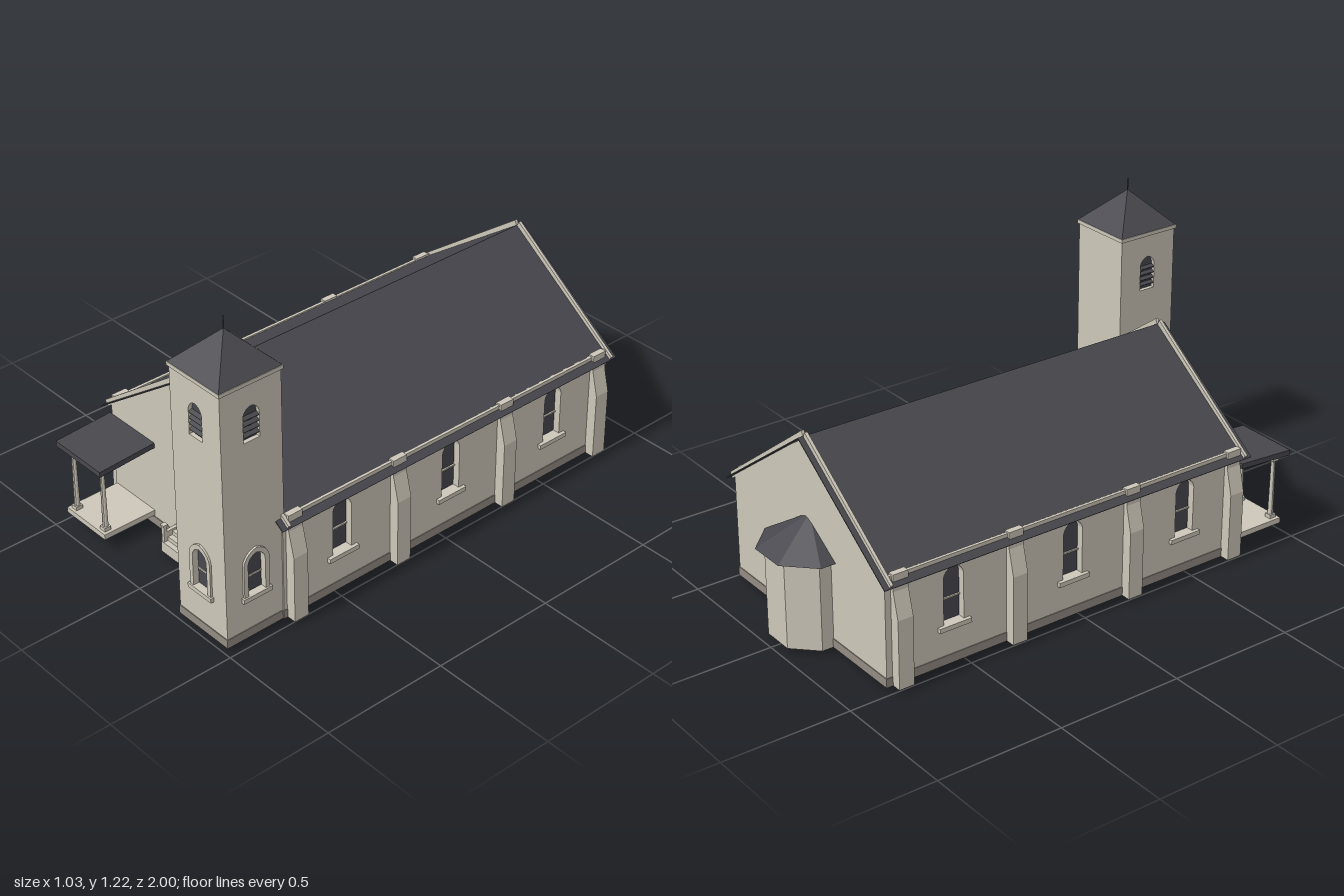
import * as THREE from 'three';

const mat = (name, color) => {
  const m = new THREE.MeshStandardMaterial({ color, side: THREE.DoubleSide, flatShading: true });
  m.name = name;
  return m;
};

export function createModel() {
  const stone = mat('pale stone', 0xcdc7b9);
  const plinthMat = mat('grey plinth', 0x928b82);
  const slate = mat('dark slate', 0x48474d);
  const glass = mat('dark glass', 0x48484f);
  const wood = mat('brown wood', 0x523420);
  const model = new THREE.Group();
  model.name = 'chapel';

  const add = (parent, name, geo, material, x = 0, y = 0, z = 0) => {
    const m = new THREE.Mesh(geo, material);
    m.name = name;
    m.position.set(x, y, z);
    parent.add(m);
    return m;
  };
  // Box given by its min and max corners
  const box = (parent, name, material, x0, x1, y0, y1, z0, z1) =>
    add(parent, name, new THREE.BoxGeometry(x1 - x0, y1 - y0, z1 - z0), material,
      (x0 + x1) / 2, (y0 + y1) / 2, (z0 + z1) / 2);

  // Arched outline, slightly pointed at the top
  const arch = (T, x, w, y0, y1) => {
    const s = new T();
    const spring = y1 - w * 1.0;
    s.moveTo(x - w, y0);
    s.lineTo(x + w, y0);
    s.lineTo(x + w, spring);
    s.quadraticCurveTo(x + w * 0.85, y1 - w * 0.2, x, y1);
    s.quadraticCurveTo(x - w * 0.85, y1 - w * 0.2, x - w, spring);
    s.closePath();
    return s;
  };
  const extrude = (shape, depth) =>
    new THREE.ExtrudeGeometry(shape, { depth, bevelEnabled: false, curveSegments: 5 });

  // Wall panel with arched or square openings; its outer face is local z = 0
  const wall = (name, pts, t, openings, pos, turn) => {
    const g = new THREE.Group();
    g.name = name;
    g.position.set(...pos);
    g.rotation.y = turn;
    model.add(g);
    const shape = new THREE.Shape(pts.map(p => new THREE.Vector2(...p)));
    for (const o of openings) {
      const { x, w, y0, y1 } = o;
      if (o.kind === 'door') {
        shape.holes.push(new THREE.Path([[x - w, y0], [x + w, y0], [x + w, y1], [x - w, y1]]
          .map(p => new THREE.Vector2(...p))));
        for (const s of [-1, 1])
          box(g, 'doorLeaf', wood, s < 0 ? x - w : x + 0.0005, s < 0 ? x - 0.0005 : x + w, y0, y1, -t * 0.7, -t * 0.4);
        continue;
      }
      shape.holes.push(arch(THREE.Path, x, w, y0, y1));
      add(g, 'windowPane', extrude(arch(THREE.Shape, x, w, y0, y1), 0.004), glass, 0, 0, -t * 0.8);
      if (o.kind === 'louvre') {
        for (let i = 0; i < 4; i++) {
          const slat = box(g, 'louvreSlat', slate, x - w, x + w, y0 + 0.02 + i * 0.022, y0 + 0.024 + i * 0.022, -0.016, 0);
          slat.rotation.x = 0.5;
        }
        continue;
      }
      const bar = y0 + (y1 - y0) * 0.39;
      box(g, 'windowBar', stone, x - w, x + w, bar - 0.003, bar + 0.003, -t * 0.8, -t * 0.55);
      box(g, 'windowSill', stone, x - w - 0.025, x + w + 0.025, y0 - 0.018, y0, -0.005, 0.014);
      if (o.hood) {
        const hood = arch(THREE.Shape, x, w + 0.018, y0, y1 + 0.02);
        hood.holes.push(arch(THREE.Path, x, w, y0, y1));
        add(g, 'windowHood', extrude(hood, 0.008), stone);
      }
    }
    add(g, name + 'Panel', extrude(shape, t).translate(0, 0, -t), stone);
    return g;
  };

  // Nave walls
  const W = 0.475, ZF = 0.74, ZB = -0.835, T = 0.04, base = 0.015, eave = 0.432, apex = 0.765;
  const gable = [[-W, base], [W, base], [W, eave], [0, apex], [-W, eave]];
  wall('frontGable', gable, T, [
    { kind: 'door', x: 0, w: 0.075, y0: 0.08, y1: 0.285 },
    { kind: 'window', x: 0, w: 0.05, y0: 0.37, y1: 0.575, hood: true },
  ], [0, 0, ZF], 0);
  wall('backGable', gable, T, [], [0, 0, ZB], Math.PI);
  for (const s of [-1, 1]) {
    const windows = [0.475, -0.04, -0.555].map(z => ({ kind: 'window', x: -s * z, w: 0.042, y0: 0.172, y1: 0.395 }));
    const a = -s * (ZF - T), b = -s * (ZB + T), lo = Math.min(a, b), hi = Math.max(a, b);
    wall('sideWall', [[lo, base], [hi, base], [hi, eave - 0.003], [lo, eave - 0.003]], T, windows, [s * W, 0, 0], s * Math.PI / 2);
  }

  // Plinth strips round the nave
  const P = 0.003;
  for (const s of [-1, 1])
    box(model, 'sidePlinth', plinthMat, s > 0 ? W : -W - P, s > 0 ? W + P : -W, base, 0.05, ZB - P, ZF + P);
  box(model, 'frontPlinth', plinthMat, -W, W, base, 0.05, ZF, ZF + P);
  box(model, 'backPlinth', plinthMat, -W, W, base, 0.05, ZB - P, ZB);

  // Stepped buttresses
  const buttress = new THREE.Shape([[0.465, base], [0.515, base], [0.515, 0.285], [0.49, 0.385], [0.49, 0.45], [0.465, 0.45]]
    .map(p => new THREE.Vector2(...p)));
  for (const s of [-1, 1])
    for (const z of [0.695, 0.22, -0.30, -0.78])
      add(model, 'buttress', extrude(buttress, 0.062), stone, 0, 0, z - 0.031).scale.x = s;

  // Thin roof slopes, gable copings and eave strips
  const zr0 = -0.855, zr1 = 0.765;
  for (const s of [-1, 1]) {
    const run = 0.505, drop = 0.36, len = Math.hypot(run, drop);
    const slope = add(model, 'roofSlope', new THREE.BoxGeometry(len, 0.004, zr1 - zr0), slate,
      s * run / 2, 0.77 - drop / 2, (zr0 + zr1) / 2);
    slope.rotation.z = -s * Math.atan2(drop, run);
    const coping = new THREE.Shape([[0, 0.768], [0.01, 0.79], [0.51, 0.425], [0.495, 0.405]]
      .map(p => new THREE.Vector2(...p)));
    for (const z of [0.73, -0.834])
      add(model, 'gableCoping', extrude(coping, 0.012), stone, 0, 0, z).scale.x = s;
    box(model, 'eaveStrip', stone, s * 0.475 - 0.006, s * 0.475 + 0.006, 0.425, 0.444, -0.83, 0.735);
  }

  // Tower: four panels, plinth, cornice, pyramid roof and spike
  const tx = 0.342, tz = 0.857, th = 0.128, tt = 0.025, top = 1.035;
  const panel = h => [[-h, base], [h, base], [h, top], [-h, top]];
  const towerOpenings = [
    { kind: 'window', x: 0, w: 0.037, y0: 0.192, y1: 0.36, hood: true },
    { kind: 'louvre', x: 0, w: 0.034, y0: 0.808, y1: 0.943 },
  ];
  wall('towerFront', panel(th), tt, towerOpenings, [tx, 0, tz + th], 0);
  wall('towerBack', panel(th), tt, [], [tx, 0, tz - th], Math.PI);
  for (const s of [-1, 1])
    wall('towerSide', panel(th - tt), tt, towerOpenings, [tx + s * th, 0, tz], s * Math.PI / 2);
  box(model, 'towerFloor', stone, tx - th, tx + th, base - 0.003, base, tz - th, tz + th);
  box(model, 'towerPlinth', plinthMat, tx - th - P, tx + th + P, base, 0.05, tz - th - P, tz + th + P);
  box(model, 'towerCornice', stone, tx - 0.134, tx + 0.134, 1.028, 1.043, tz - 0.134, tz + 0.134);
  add(model, 'towerRoof', new THREE.ConeGeometry(0.132 * Math.SQRT2, 0.132, 4).rotateY(Math.PI / 4), slate, tx, 1.109, tz);
  add(model, 'roofSpike', new THREE.CylinderGeometry(0.002, 0.003, 0.055, 6), slate, tx, 1.194, tz);

  // Eight-sided apse
  const c8 = Math.cos(Math.PI / 8);
  add(model, 'apseWall', new THREE.CylinderGeometry(0.15 / c8, 0.15 / c8, 0.345, 8).rotateY(Math.PI / 8), stone, 0, 0.1875, -0.82);
  add(model, 'apseRoof', new THREE.ConeGeometry(0.18 / c8, 0.115, 8).rotateY(Math.PI / 8), slate, 0, 0.4175, -0.82);

  // Door steps between low cheek walls
  box(model, 'bottomStep', stone, -0.12, 0.12, 0, 0.045, ZF, 0.81);
  box(model, 'middleStep', stone, -0.105, 0.105, 0.045, 0.062, ZF, 0.79);
  box(model, 'topStep', stone, -0.105, 0.105, 0.062, 0.078, ZF, 0.77);
  for (const s of [-1, 1]) {
    const x = s * 0.113;
    box(model, 'cheekWall', stone, x - 0.007, x + 0.007, 0.045, 0.085, ZF, 0.80);
    box(model, 'cheekPost', stone, x - 0.007, x + 0.007, 0.045, 0.11, 0.792, 0.806);
    box(model, 'postCap', stone, x - 0.01, x + 0.01, 0.11, 0.117, 0.789, 0.809);
  }

  // Side porch: floor slab, two columns and a lean-to roof
  box(model, 'porchFloor', stone, -0.47, -0.245, 0.056, 0.078, ZF, 0.965);
  for (const x of [-0.442, -0.272]) {
    const z = 0.94;
    add(model, 'porchColumn', new THREE.CylinderGeometry(0.008, 0.011, 0.26, 10), stone, x, 0.208, z);
    box(model, 'columnBase', stone, x - 0.014, x + 0.014, 0.078, 0.093, z - 0.014, z + 0.014);
    box(model, 'columnCap', stone, x - 0.014, x + 0.014, 0.318, 0.345, z - 0.014, z + 0.014);
  }
  const porchRoof = new THREE.Shape([[-0.74, 0.36], [-0.74, 0.381], [-0.98, 0.366], [-0.98, 0.344]]
    .map(p => new THREE.Vector2(...p)));
  add(model, 'porchRoof', extrude(porchRoof, 0.26).rotateY(Math.PI / 2), slate, -0.487, 0, 0);

  return model;
}
